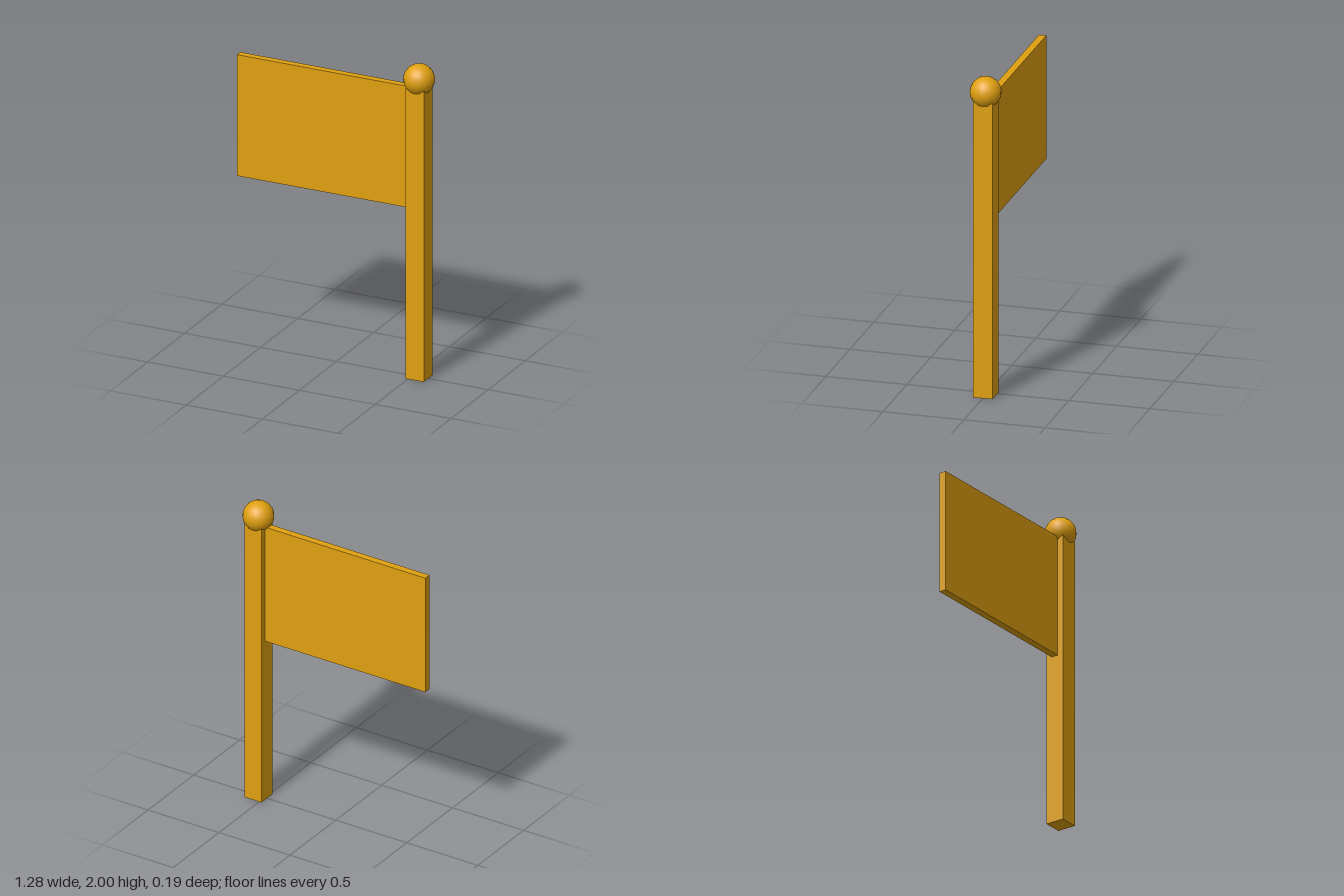
import * as THREE from 'three';

export function createModel() {
  const group = new THREE.Group();
  group.name = 'flag';
  const material = new THREE.MeshStandardMaterial({ color: 0xe0a010 });

  const add = (name, geometry, x, y) => {
    const mesh = new THREE.Mesh(geometry, material);
    mesh.name = name;
    mesh.position.set(x, y, 0);
    group.add(mesh);
  };

  const poleX = 0.545, poleWidth = 0.12, top = 1.855;

  // Square pole standing on the ground
  add('pole', new THREE.BoxGeometry(poleWidth, top, poleWidth), poleX, top / 2);

  // Stiff banner, running from its free edge to the pole's side
  const left = -0.645, right = poleX - poleWidth / 2, bottom = 1.08;
  add('banner', new THREE.BoxGeometry(right - left, top - bottom, 0.045),
    (left + right) / 2, (top + bottom) / 2);

  // Ball sunk onto the pole top
  add('finial', new THREE.SphereGeometry(0.095, 16, 12), poleX, 1.905);

  return group;
}
